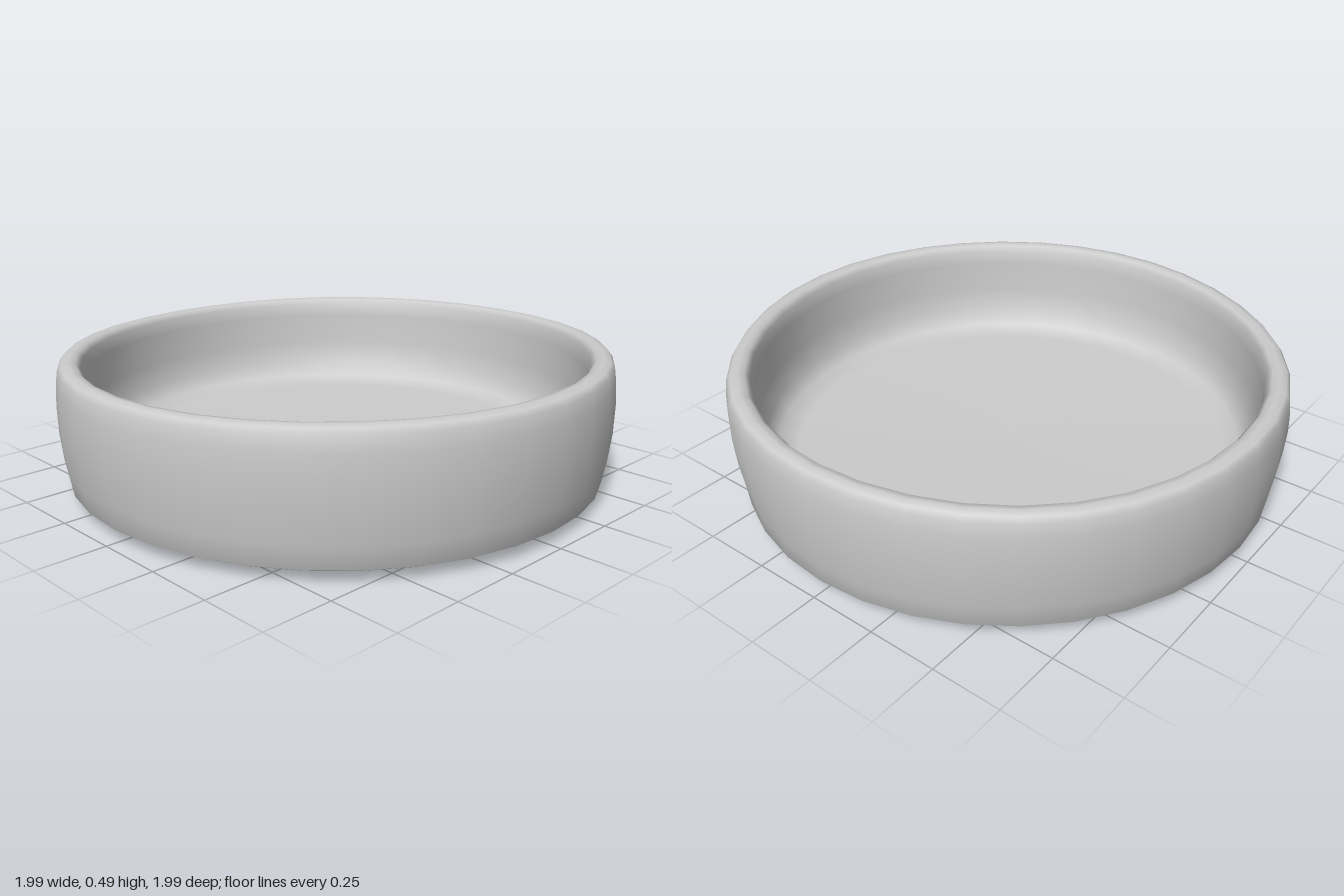
import * as THREE from 'three';

const material = new THREE.MeshStandardMaterial({ color: 0xcccccc });

export function createModel() {
  const model = new THREE.Group();
  model.name = 'shallowDish';

  // Closed profile: underside, outer wall, rounded rim, inner wall, floor
  const profile = [
    [0, 0.032], [0.9, 0.034], [0.95, 0.036], [0.966, 0.045], [0.98, 0.12],
    [0.993, 0.22], [0.998, 0.32], [0.995, 0.4], [0.988, 0.45], [0.975, 0.468],
    [0.95, 0.475], [0.925, 0.47], [0.91, 0.452], [0.904, 0.4], [0.9, 0.28],
    [0.885, 0.19], [0.85, 0.135], [0.78, 0.108], [0, 0.098],
  ].map(([r, y]) => new THREE.Vector2(r, y));
  const dish = new THREE.LatheGeometry(profile, 36);

  // The rim rises slightly towards +x, and the wall is a little uneven
  const pos = dish.attributes.position;
  for (let i = 0; i < pos.count; i++) {
    const x = pos.getX(i), y = pos.getY(i), z = pos.getZ(i);
    const a = Math.atan2(z, x);
    const s = 1 - 0.003 * (1 + Math.sin(5 * a + 9 * y)) * (y > 0.11 ? 1 : 0);
    pos.setXYZ(i, x * s, y + 0.013 * x * (y / 0.475), z * s);
  }
  const body = new THREE.Mesh(dish, material);
  body.name = 'dishBody';
  model.add(body);

  // Three tiny low feet under the edge
  for (const [x, z, h] of [[-0.83, 0, 0.028], [0.27, 0.79, 0.036], [0.48, -0.7, 0.018]]) {
    const foot = new THREE.Mesh(new THREE.CylinderGeometry(0.06, 0.015, h, 8), material);
    foot.position.set(x, 0.036 - h / 2, z);
    foot.name = 'foot';
    model.add(foot);
  }
  return model;
}
